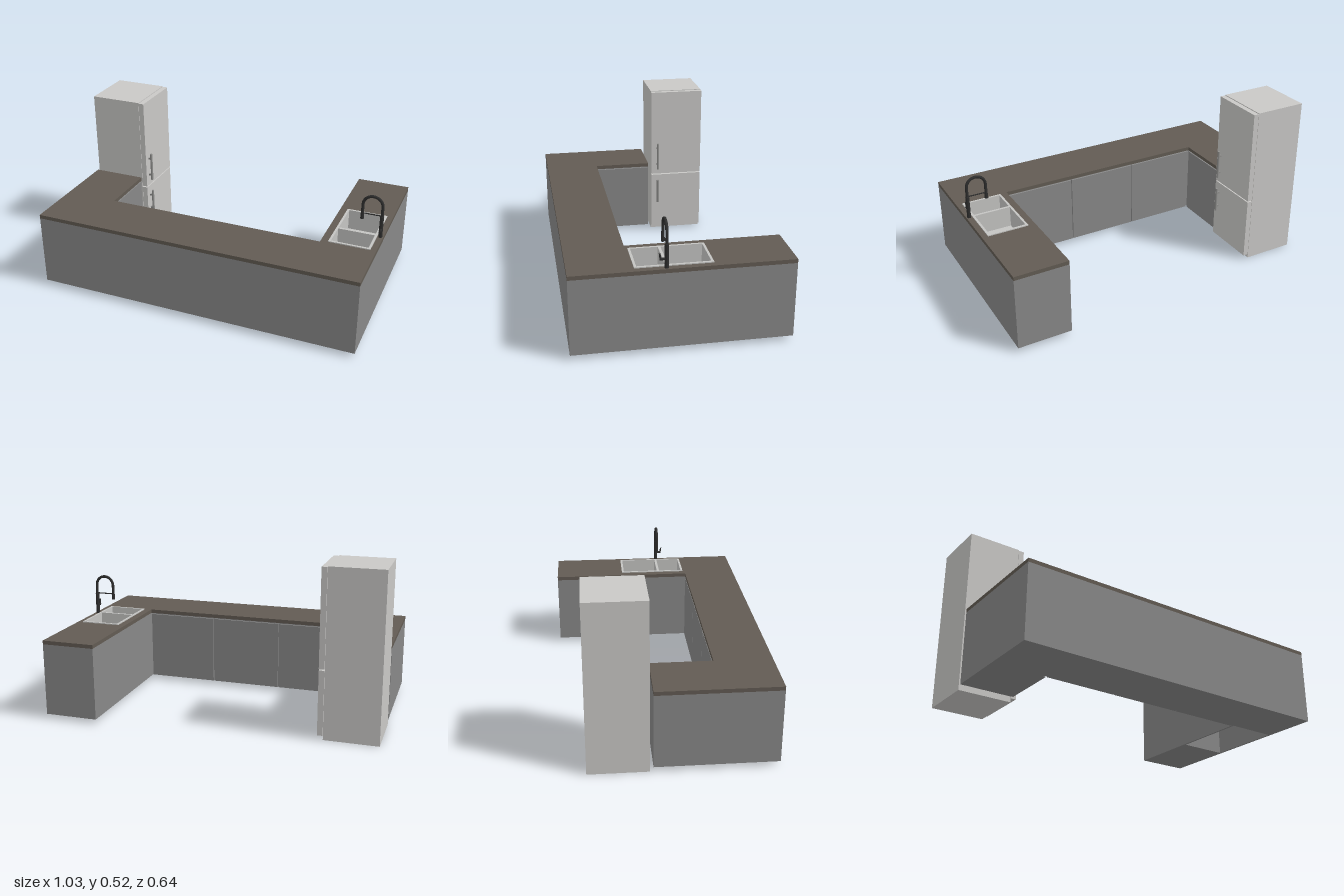
import * as THREE from 'three';

const mat = (name, color, side = THREE.FrontSide) => {
  const m = new THREE.MeshStandardMaterial({ color, side });
  m.name = name;
  return m;
};

export function createModel() {
  const model = new THREE.Group();
  model.name = 'kitchen';
  const cabinetGrey = mat('cabinetGrey', 0x888888);
  const worktopBrown = mat('worktopBrown', 0x625b53);
  const fridgeGrey = mat('fridgeGrey', 0xc9c8c6);
  const sinkSteel = mat('sinkSteel', 0xc4c4c2);
  const drainWhite = mat('drainWhite', 0xe6e6e4);
  const tapBlack = mat('tapBlack', 0x2e2e2e);
  const handleGrey = mat('handleGrey', 0x8f8f8d);

  const add = (parent, name, geometry, material, x = 0, y = 0, z = 0) => {
    const mesh = new THREE.Mesh(geometry, material);
    mesh.name = name;
    mesh.position.set(x, y, z);
    parent.add(mesh);
    return mesh;
  };
  // Box given by its two extreme corners
  const box = (parent, name, material, x0, x1, y0, y1, z0, z1) =>
    add(parent, name, new THREE.BoxGeometry(x1 - x0, y1 - y0, z1 - z0), material,
      (x0 + x1) / 2, (y0 + y1) / 2, (z0 + z1) / 2);
  // Horizontal plate extruded upward from y; outlines are [x, z] points
  const plate = (parent, name, material, outline, holes, y, height) => {
    const pts = (list) => list.map(([x, z]) => new THREE.Vector2(x, -z));
    const shape = new THREE.Shape(pts(outline));
    shape.holes = holes.map((h) => new THREE.Path(pts(h)));
    const geo = new THREE.ExtrudeGeometry(shape, { depth: height, bevelEnabled: false });
    geo.rotateX(-Math.PI / 2);
    return add(parent, name, geo, material, 0, y, 0);
  };
  const rect = (x0, x1, z0, z1) => [[x0, z0], [x0, z1], [x1, z1], [x1, z0]];

  const L = -0.625, R = 0.41, FRONT = -0.363, BACK = -1;
  const INNER_L = -0.455, INNER_R = 0.241, INNER_Z = -0.538, LEG_END = -0.726;
  const Y0 = 0.017, Y1 = 0.246, TOP = 0.258;

  // Base cabinets in a U, the sink cabinet being an open shell
  const cabinets = new THREE.Group();
  cabinets.name = 'cabinets';
  model.add(cabinets);
  box(cabinets, 'frontCabinet', cabinetGrey, L, R, Y0, Y1, INNER_Z + 0.006, FRONT);
  box(cabinets, 'leftCabinet', cabinetGrey, L, INNER_L - 0.006, Y0, Y1, LEG_END, INNER_Z + 0.006);
  box(cabinets, 'rightCabinet', cabinetGrey, INNER_R, R, Y0, Y1, BACK, -0.772);
  box(cabinets, 'sinkCabinetInnerWall', cabinetGrey, INNER_R, INNER_R + 0.006, Y0, Y1, -0.772, INNER_Z + 0.006);
  box(cabinets, 'sinkCabinetOuterWall', cabinetGrey, R - 0.006, R, Y0, Y1, -0.772, INNER_Z + 0.006);

  // Doors facing the inside of the U
  const doors = 3, gap = 0.003, width = (INNER_R - INNER_L) / doors;
  for (let i = 0; i < doors; i++) {
    const x = INNER_L + i * width;
    box(cabinets, 'cabinetDoor', cabinetGrey, x + gap / 2, x + width - gap / 2,
      Y0, Y1 - 0.004, INNER_Z, INNER_Z + 0.006);
  }
  box(cabinets, 'leftCabinetDoor', cabinetGrey, INNER_L - 0.006, INNER_L,
    Y0, Y1 - 0.004, LEG_END + 0.002, INNER_Z - gap);

  // Worktop with the sink cut-out
  const sink = [0.264, 0.392, -0.767, -0.545];
  plate(model, 'worktop', worktopBrown, [
    [L, LEG_END], [L, FRONT], [R, FRONT], [R, BACK],
    [INNER_R, BACK], [INNER_R, INNER_Z], [INNER_L, INNER_Z], [INNER_L, LEG_END],
  ], [rect(sink[0] + 0.003, sink[1] - 0.003, sink[2] + 0.003, sink[3] - 0.003)], Y1, TOP - Y1);

  // Double sink: rim, two bowls and drains
  const sinkGroup = new THREE.Group();
  sinkGroup.name = 'sink';
  model.add(sinkGroup);
  const bowls = [[0.271, 0.385, -0.76, -0.639], [0.271, 0.385, -0.631, -0.552]];
  plate(sinkGroup, 'sinkRim', sinkSteel, rect(...sink), bowls.map((b) => rect(...b)), TOP, 0.003);
  for (const [x0, x1, z0, z1] of bowls) {
    const t = 0.002, floor = 0.195;
    plate(sinkGroup, 'bowlWalls', sinkSteel, rect(x0 - t, x1 + t, z0 - t, z1 + t),
      [rect(x0, x1, z0, z1)], floor, TOP - floor);
    box(sinkGroup, 'bowlFloor', sinkSteel, x0 - t, x1 + t, floor - t, floor, z0 - t, z1 + t);
    add(sinkGroup, 'drain', new THREE.CylinderGeometry(0.016, 0.016, 0.003, 24), drainWhite,
      0.347, floor + 0.0015, (z0 + z1) / 2);
  }

  // Tap: gooseneck, spray head, holding arm and lever
  const tap = new THREE.Group();
  tap.name = 'tap';
  tap.position.set(0, 0, -0.633);
  model.add(tap);
  const neck = new THREE.CurvePath();
  const v = (x, y, z = 0) => new THREE.Vector3(x, y, z);
  const arc = [];
  for (let i = 0; i <= 12; i++) {
    const a = (i / 12) * Math.PI;
    arc.push(v(0.371 + 0.03 * Math.cos(a), 0.358 + 0.03 * Math.sin(a)));
  }
  neck.add(new THREE.LineCurve3(v(0.401, TOP), arc[0]));
  neck.add(new THREE.CatmullRomCurve3(arc));
  neck.add(new THREE.LineCurve3(arc[12], v(0.341, 0.325)));
  add(tap, 'tapNeck', new THREE.TubeGeometry(neck, 60, 0.0045, 10), tapBlack);
  const rod = (name, a, b, r) => add(tap, name,
    new THREE.TubeGeometry(new THREE.LineCurve3(a, b), 1, r, 8), tapBlack);
  add(tap, 'sprayHead', new THREE.CylinderGeometry(0.0045, 0.0055, 0.03, 12), tapBlack, 0.341, 0.325, 0);
  add(tap, 'tapBase', new THREE.CylinderGeometry(0.006, 0.006, 0.07, 12), tapBlack, 0.401, TOP + 0.035, 0);
  rod('holdingArm', v(0.341, 0.329), v(0.401, 0.329), 0.002);
  rod('leverStem', v(0.401, 0.285), v(0.401, 0.285, 0.018), 0.004);
  rod('lever', v(0.401, 0.282, 0.017), v(0.401, 0.303, 0.02), 0.0025);

  // Fridge with two doors facing +x
  const fridge = new THREE.Group();
  fridge.name = 'fridge';
  model.add(fridge);
  const FZ0 = -0.915, FZ1 = -0.736, DOOR_X = -0.439;
  box(fridge, 'fridgeBody', fridgeGrey, L, -0.457, 0.003, 0.526, FZ0, FZ1);
  for (const [y0, y1, h0, h1] of [[0.016, 0.218, 0.115, 0.2], [0.222, 0.524, 0.242, 0.338]]) {
    box(fridge, 'fridgeDoor', fridgeGrey, -0.456, DOOR_X, y0, y1, FZ0, FZ1);
    add(fridge, 'fridgeHandle', new THREE.CylinderGeometry(0.004, 0.004, h1 - h0, 12), handleGrey,
      -0.429, (h0 + h1) / 2, -0.757);
    for (const y of [h0 + 0.018, h1 - 0.018])
      box(fridge, 'handleBracket', handleGrey, DOOR_X, -0.429, y - 0.003, y + 0.003, -0.76, -0.754);
  }
  return model;
}
